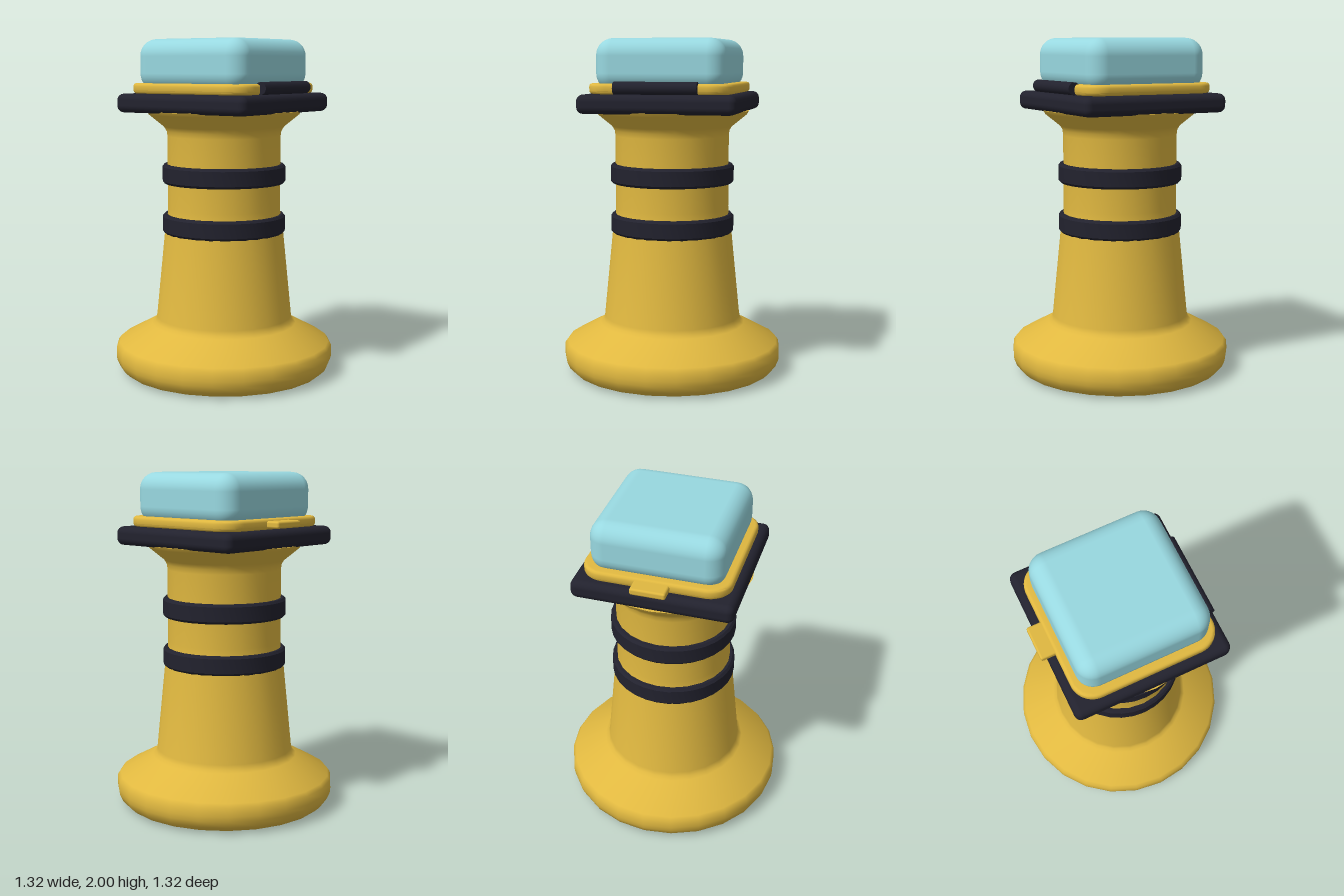
import * as THREE from 'three';
import { toCreasedNormals } from 'three/addons/utils/BufferGeometryUtils.js';
import { RoundedBoxGeometry } from 'three/addons/geometries/RoundedBoxGeometry.js';

const material = (name, color) => {
  const m = new THREE.MeshStandardMaterial({ color });
  m.name = name;
  return m;
};

// Revolved profile with [radius, height] points listed from bottom to top
const lathe = (points, sides) => toCreasedNormals(
  new THREE.LatheGeometry(points.map(([r, y]) => new THREE.Vector2(r, y)), sides), 0.7);

// Square outline with rounded corners
function roundedSquare(half, r) {
  const s = new THREE.Shape();
  const c = half - r;
  s.absarc(c, c, r, 0, Math.PI / 2);
  s.absarc(-c, c, r, Math.PI / 2, Math.PI);
  s.absarc(-c, -c, r, Math.PI, Math.PI * 1.5);
  s.absarc(c, -c, r, Math.PI * 1.5, Math.PI * 2);
  s.closePath();
  return s;
}

export function createModel() {
  const gold = material('gold', 0xe0b840);
  const black = material('black', 0x22222e);
  const aqua = material('aqua', 0x98d8e0);
  const model = new THREE.Group();
  model.name = 'pedestalButton';

  const add = (name, geometry, mat, x = 0, y = 0, z = 0) => {
    const mesh = new THREE.Mesh(geometry, mat);
    mesh.name = name;
    mesh.position.set(x, y, z);
    model.add(mesh);
    return mesh;
  };

  // Foot, tapering column and flared collar
  add('pedestal', lathe([
    [0, 0], [0.575, 0], [0.61, 0.012], [0.64, 0.04], [0.657, 0.08], [0.66, 0.11],
    [0.657, 0.16], [0.64, 0.183], [0.44, 0.292], [0.42, 0.307], [0.412, 0.335],
    [0.36, 0.85], [0.343, 0.95], [0.34, 1.0], [0.34, 1.43], [0.344, 1.46], [0.36, 1.487],
    [0.45, 1.56], [0.462, 1.58], [0, 1.58],
  ], 24), gold);

  // Dark bands around the column
  for (const y of [0.905, 1.205]) {
    add('columnBand', lathe([
      [0.32, -0.057], [0.358, -0.057], [0.37, -0.043],
      [0.37, 0.043], [0.358, 0.057], [0.32, 0.057],
    ], 32), black, 0, y);
  }

  // Square dark plate on top of the collar
  add('topPlate', new RoundedBoxGeometry(0.92, 0.11, 0.92, 3, 0.04), black, 0, 1.628);

  // Gold frame with rounded corners and a soft edge
  const frame = new THREE.ExtrudeGeometry(roundedSquare(0.4, 0.11), {
    depth: 0.024, bevelEnabled: true, bevelThickness: 0.018, bevelSize: 0.018,
    bevelSegments: 3, curveSegments: 6,
  });
  frame.rotateX(-Math.PI / 2);
  add('frame', toCreasedNormals(frame, 0.7), gold, 0, 1.702);

  // Latch tab at the back and hinge barrel at the front
  add('latchTab', new RoundedBoxGeometry(0.2, 0.04, 0.14, 2, 0.012), gold, 0, 1.713, -0.43);
  add('hinge', new THREE.CylinderGeometry(0.036, 0.036, 0.48, 16), black, 0, 1.72, 0.42)
    .rotation.z = Math.PI / 2;

  // Puffy square button
  add('button', new RoundedBoxGeometry(0.76, 0.3, 0.76, 4, 0.1), aqua, 0, 1.85);

  return model;
}
